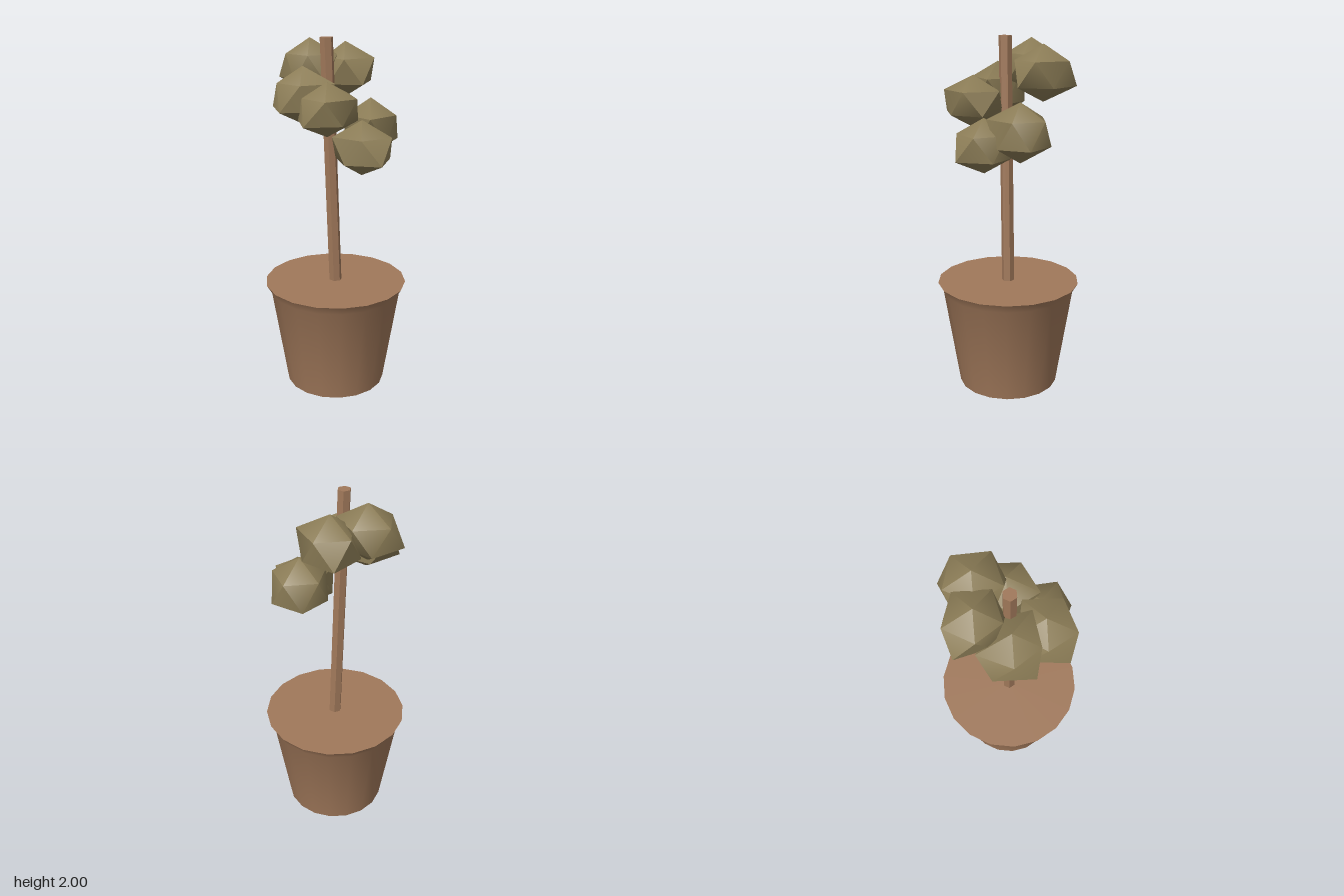
import * as THREE from 'three';
import { toCreasedNormals } from 'three/addons/utils/BufferGeometryUtils.js';

const clay = new THREE.MeshStandardMaterial({ color: 0xa0785a });
clay.name = 'brown clay and bark';
const foliage = new THREE.MeshStandardMaterial({ color: 0x8b7c56 });
foliage.name = 'olive foliage';

function addPart(group, name, geometry, material) {
  const mesh = new THREE.Mesh(geometry, material);
  mesh.name = name;
  group.add(mesh);
  return mesh;
}

// Uneven icosahedron: two poles and two staggered rings of five.
// radii run around the lump in 36 degree steps from +x towards +z,
// alternating between the lower and upper ring.
function leafLump(radii, halfHeight) {
  const points = [0, halfHeight, 0, 0, -halfHeight, 0];
  radii.forEach((r, i) => {
    const a = (i * Math.PI) / 5;
    points.push(r * Math.cos(a), (i % 2 ? 0.45 : -0.45) * halfHeight, r * Math.sin(a));
  });
  const lower = (i) => 2 + ((2 * i) % 10);
  const upper = (i) => 3 + ((2 * i) % 10);
  const faces = [];
  for (let i = 0; i < 5; i++) {
    faces.push(0, upper(i + 1), upper(i));
    faces.push(lower(i), upper(i), lower(i + 1));
    faces.push(upper(i), upper(i + 1), lower(i + 1));
    faces.push(1, lower(i), lower(i + 1));
  }
  const geometry = new THREE.BufferGeometry();
  geometry.setAttribute('position', new THREE.Float32BufferAttribute(points, 3));
  geometry.setIndex(faces);
  return toCreasedNormals(geometry, 0.8);
}

export function createModel() {
  const model = new THREE.Group();
  model.name = 'pottedTree';

  // Tapered pot with a flared rim and a level top
  const profile = [[0, 0], [0.285, 0], [0.375, 0.57], [0.405, 0.62], [0, 0.62]];
  const pot = new THREE.LatheGeometry(profile.map(([x, y]) => new THREE.Vector2(x, y)), 18);
  pot.rotateY(Math.PI / 2);
  addPart(model, 'pot', toCreasedNormals(pot, 0.6), clay);

  // Six-sided trunk, sheared so that it leans to -x
  const trunk = new THREE.CylinderGeometry(0.036, 0.036, 1.4, 6);
  trunk.rotateY(Math.PI / 6);
  trunk.translate(0, 1.3, 0);
  const p = trunk.attributes.position;
  for (let i = 0; i < p.count; i++) {
    p.setX(i, p.getX(i) - 0.05 * (p.getY(i) - 0.62) / 1.38);
  }
  addPart(model, 'trunk', toCreasedNormals(trunk, 0.6), clay);

  // Leaf lumps winding around the trunk
  const lumps = [
    { at: [0.10, 1.435, 0.17], h: 0.15,
      radii: [0.16, 0.167, 0.183, 0.145, 0.15, 0.165, 0.15, 0.15, 0.15, 0.15] },
    { at: [0.20, 1.51, 0], h: 0.162,
      radii: [0.16, 0.147, 0.15, 0.18, 0.15, 0.15, 0.15, 0.15, 0.165, 0.156] },
    { at: [-0.09, 1.648, 0.17], h: 0.144,
      radii: [0.167, 0.165, 0.147, 0.16, 0.19, 0.135, 0.165, 0.15, 0.16, 0.175] },
    { at: [-0.18, 1.70, 0], h: 0.155,
      radii: [0.15, 0.185, 0.15, 0.145, 0.185, 0.14, 0.178, 0.185, 0.15, 0.14] },
    { at: [0.10, 1.808, -0.165], h: 0.153,
      radii: [0.15, 0.17, 0.172, 0.155, 0.15, 0.12, 0.155, 0.15, 0.18, 0.16] },
    { at: [-0.10, 1.832, -0.17], h: 0.153,
      radii: [0.115, 0.16, 0.155, 0.14, 0.13, 0.135, 0.188, 0.157, 0.155, 0.16] },
  ];
  lumps.forEach(({ at, h, radii }, i) => {
    addPart(model, `leafLump${i + 1}`, leafLump(radii, h), foliage).position.set(...at);
  });

  return model;
}
